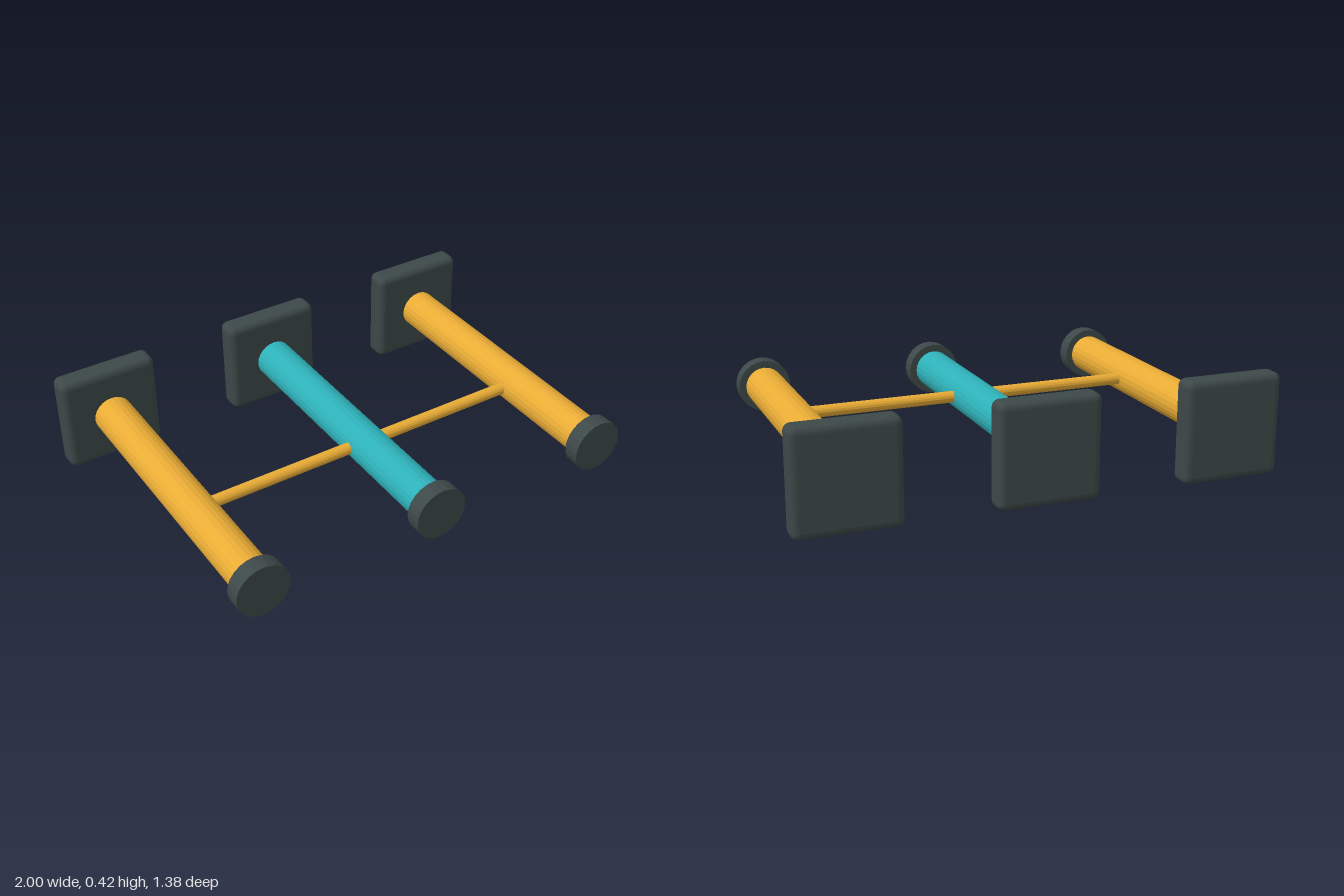
import * as THREE from 'three';
import { RoundedBoxGeometry } from 'three/addons/geometries/RoundedBoxGeometry.js';

const AXIS_Y = 0.212;   // height of all tube axes
const SPACING = 0.788;  // distance between neighbouring tubes

export function createModel() {
  const model = new THREE.Group();
  model.name = 'tripleTubeRack';

  const paint = (color) => new THREE.MeshStandardMaterial({ color, flatShading: true });
  const amber = paint(0xe8ab35);
  const teal = paint(0x2eb0b8);
  const dark = paint(0x3d4848);

  const add = (parent, name, geometry, material, x, y, z) => {
    const mesh = new THREE.Mesh(geometry, material);
    mesh.name = name;
    mesh.position.set(x, y, z);
    parent.add(mesh);
  };

  // Cylinder lying along z
  const along = (radius, length) =>
    new THREE.CylinderGeometry(radius, radius, length, 24).rotateX(Math.PI / 2);

  const plate = new RoundedBoxGeometry(0.424, 0.424, 0.104, 3, 0.03);
  const tube = along(0.083, 1.26);
  const cap = along(0.113, 0.068);

  // Three tubes, each with a square back plate and a round front cap
  [['rightUnit', -1, amber], ['middleUnit', 0, teal], ['leftUnit', 1, amber]].forEach(([name, side, material]) => {
    const unit = new THREE.Group();
    unit.name = name;
    unit.position.set(side * SPACING, AXIS_Y, 0);
    add(unit, 'backPlate', plate, dark, 0, 0, -0.639);
    add(unit, 'tube', tube, material, 0, 0, 0.01);
    add(unit, 'frontCap', cap, dark, 0, 0, 0.657);
    model.add(unit);
  });

  // Thin rods joining neighbouring tubes
  const rod = new THREE.CylinderGeometry(0.025, 0.025, SPACING - 0.1, 16).rotateZ(Math.PI / 2);
  for (const side of [-1, 1]) {
    add(model, side < 0 ? 'rightRod' : 'leftRod', rod, amber, side * SPACING / 2, AXIS_Y + 0.002, 0.153);
  }

  return model;
}
